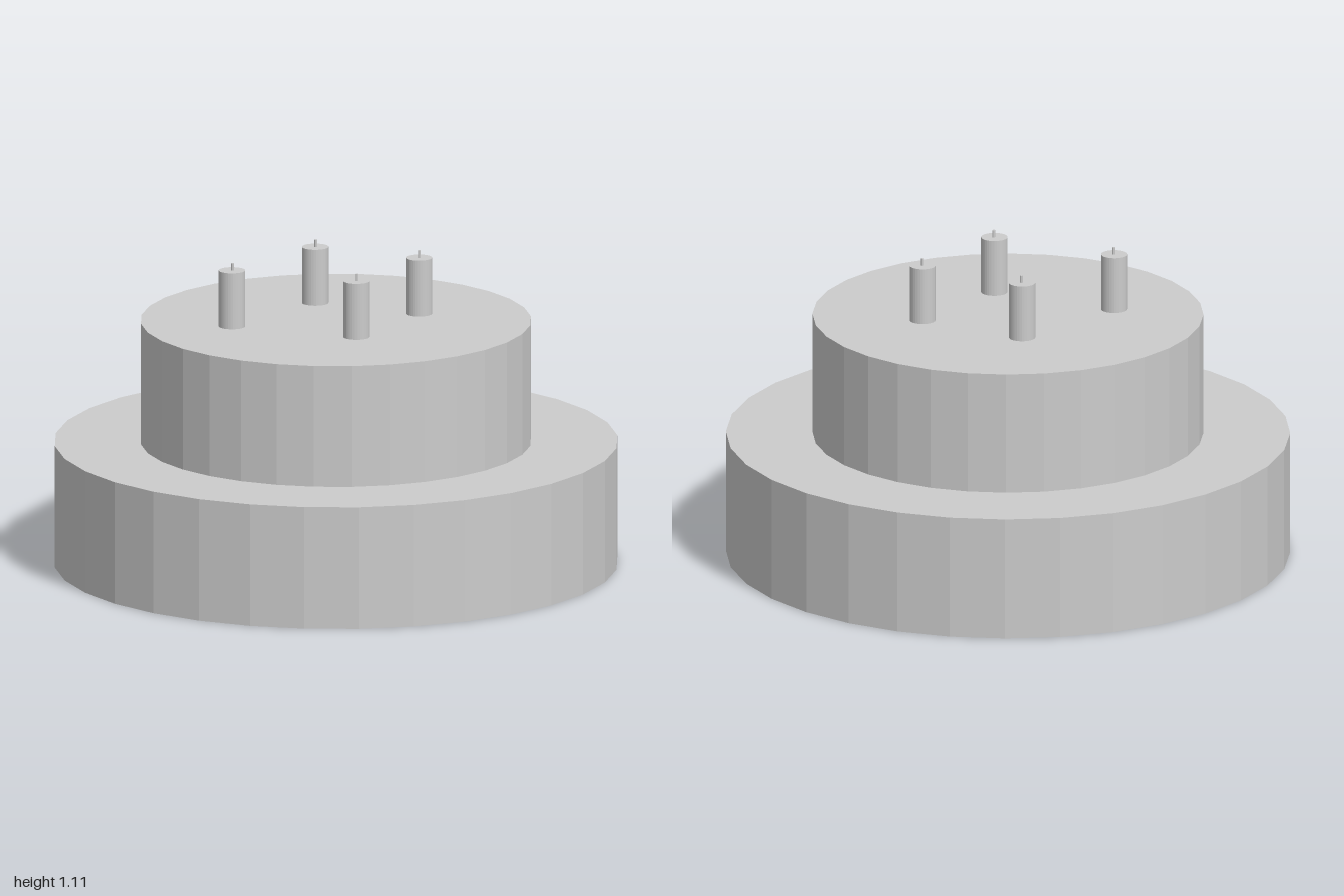
import * as THREE from 'three';

export function createModel() {
  const model = new THREE.Group();
  const material = new THREE.MeshStandardMaterial({ color: 0xcccccc, flatShading: true });

  // Upright cylinder spanning two heights
  function cylinder(name, radius, bottom, top, x = 0, z = 0, sides = 32) {
    const geometry = new THREE.CylinderGeometry(radius, radius, top - bottom, sides);
    const mesh = new THREE.Mesh(geometry, material);
    mesh.name = name;
    mesh.position.set(x, (bottom + top) / 2, z);
    return mesh;
  }

  // Cake tiers
  const tierTop = 0.443, cakeTop = 0.883;
  model.add(cylinder('lowerTier', 1, 0, tierTop));
  model.add(cylinder('upperTier', 0.693, tierTop, cakeTop));

  // Candles with wicks
  const candleTop = 1.087, wickTop = 1.113;
  const spots = [[-0.38, -0.012], [0.31, -0.012], [0, -0.27], [0, 0.26]];
  for (const [x, z] of spots) {
    const candle = new THREE.Group();
    candle.name = 'candle';
    candle.add(cylinder('candleStick', 0.047, cakeTop, candleTop, x, z));
    candle.add(cylinder('wick', 0.005, candleTop, wickTop, x + 0.002, z, 16));
    model.add(candle);
  }
  return model;
}
